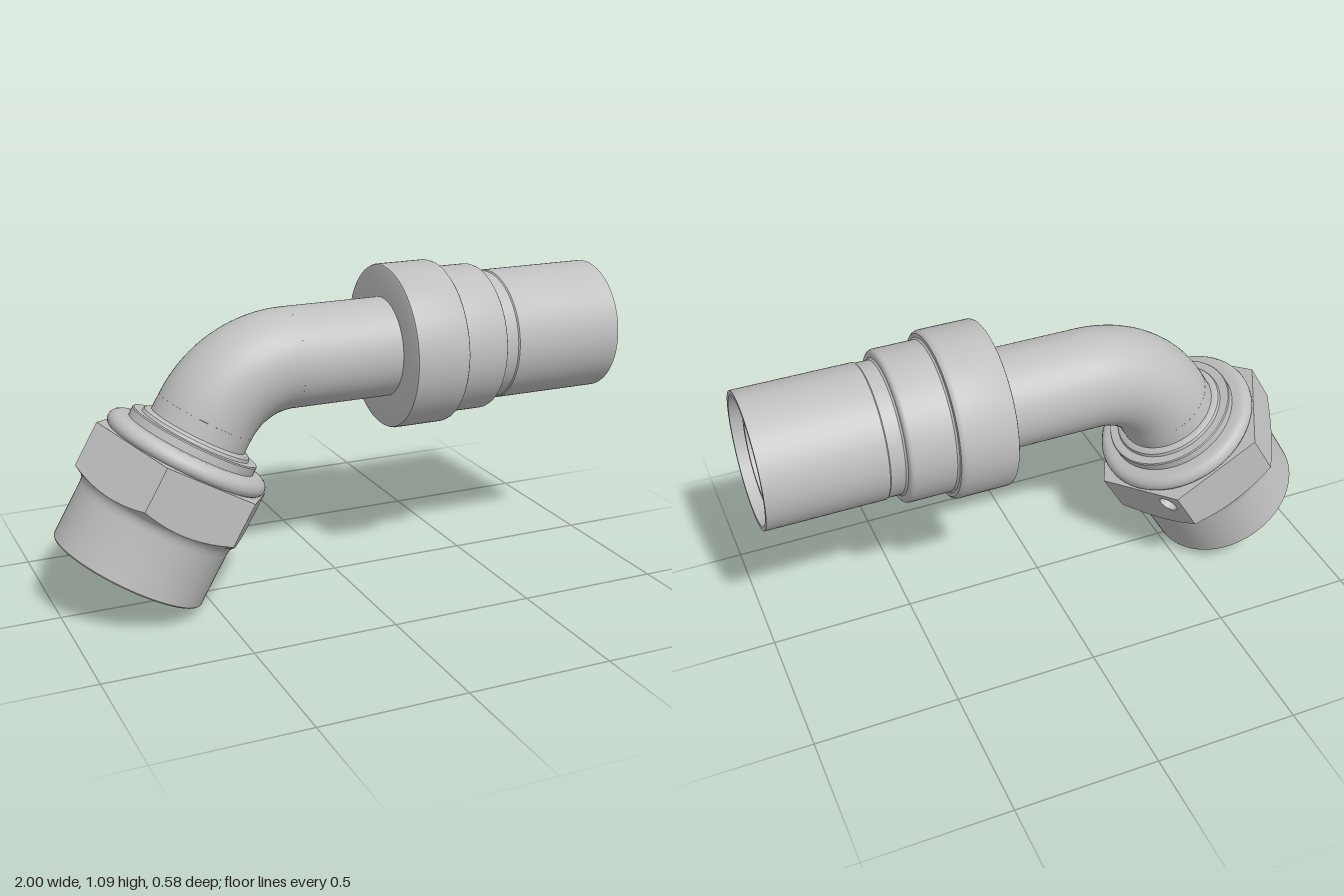
import * as THREE from 'three';
import { toCreasedNormals } from 'three/addons/utils/BufferGeometryUtils.js';

const metal = new THREE.MeshStandardMaterial({ color: 0xc0c0c0, side: THREE.DoubleSide });
metal.name = 'grey metal';

const SEGMENTS = 96;
const PIPE_Y = 0.81, PIPE_R = 0.173, BORE_R = 0.145;
const BEND_R = 0.338, BEND_X = -0.179;
const FLAT = 0.29, CORNER = FLAT / Math.cos(Math.PI / 6), NUT_TOP = 0.42;

function part(name, geometry, parent) {
  const mesh = new THREE.Mesh(geometry, metal);
  mesh.name = name;
  parent.add(mesh);
  return mesh;
}

// profile of [radius, height] pairs, turned about y
function turned(profile) {
  const points = profile.map(([r, h]) => new THREE.Vector2(r, h));
  return new THREE.LatheGeometry(points, SEGMENTS);
}
const crisp = (geometry) => toCreasedNormals(geometry, 0.6);

// height of the conical chamfer under the hexagon at a given radius
const chamferAt = (r) => 0.262 - 0.577 * (CORNER - r);

function hexRadius(angle) {
  const step = Math.PI / 3;
  const a = angle - Math.round(angle / step) * step;
  return FLAT / Math.cos(a);
}

// one side of the hexagon, with a scalloped lower edge
function hexSide(withHole, hole) {
  const half = CORNER / 2, n = 16;
  const shape = new THREE.Shape();
  shape.moveTo(-half, NUT_TOP);
  for (let i = 0; i <= n; i++) {
    const s = -half + (2 * half * i) / n;
    shape.lineTo(s, chamferAt(Math.hypot(FLAT, s)));
  }
  shape.lineTo(half, NUT_TOP);
  if (withHole) {
    shape.holes.push(new THREE.Path().absarc(hole.s, hole.t, hole.r, 0, Math.PI * 2, true));
  }
  return new THREE.ShapeGeometry(shape, 24).translate(0, 0, FLAT);
}

function createNut() {
  const nut = new THREE.Group();
  nut.name = 'nut';

  // skirt, bore and chamfer; the last point is spread out to the hexagon
  const skirt = turned([
    [BORE_R, 0.582], [BORE_R, 0.34], [0.235, 0.3], [0.235, 0.03], [0.25, 0],
    [0.271, 0], [0.275, 0.005], [0.275, 0.195], [0.277, 0.212], [0.282, 0.226],
    [0.289, 0.235], [CORNER, 0.262],
  ]);
  const p = skirt.attributes.position;
  for (let i = 0; i < p.count; i++) {
    if (Math.hypot(p.getX(i), p.getZ(i)) < 0.3) continue;
    const angle = Math.atan2(p.getX(i), p.getZ(i));
    const r = hexRadius(angle);
    p.setXYZ(i, r * Math.sin(angle), chamferAt(r), r * Math.cos(angle));
  }
  part('nutSkirt', crisp(skirt), nut);

  // six flats, one with a blind hole
  const hole = { s: 0.098, t: 0.363, r: 0.034 };
  for (let i = 0; i < 6; i++) {
    part('nutFlat', hexSide(i === 2, hole), nut).rotation.y = (i * Math.PI) / 3;
  }
  const drilled = turned([[0.0001, -0.048], [hole.r, -0.03], [hole.r, 0]]);
  drilled.rotateX(Math.PI / 2).translate(hole.s, hole.t, FLAT);
  part('lockingHole', crisp(drilled), nut).rotation.y = (2 * Math.PI) / 3;

  const top = new THREE.RingGeometry(0.2, CORNER, 6);
  top.rotateX(-Math.PI / 2).translate(0, NUT_TOP, 0);
  part('nutTop', top, nut);

  // rounded ring, collar and the short pipe up to the bend
  part('nutCollar', crisp(turned([
    [0.275, 0.418], [0.284, 0.424], [0.29, 0.434], [0.291, 0.444], [0.288, 0.456],
    [0.28, 0.467], [0.268, 0.473], [0.255, 0.475], [0.231, 0.475], [0.231, 0.503],
    [0.228, 0.507], [0.198, 0.507], [0.195, 0.518], [0.187, 0.524], [PIPE_R, 0.526],
    [PIPE_R, 0.582],
  ])), nut);

  nut.position.set(-0.763, 0.137, 0);
  nut.rotation.z = -Math.PI / 6;
  return nut;
}

export function createModel() {
  const model = new THREE.Group();
  model.name = 'pipeElbow';
  model.add(createNut());

  // sixty degree bend, outside and bore
  for (const [name, r] of [['bend', PIPE_R], ['bendBore', BORE_R]]) {
    const bend = part(name, new THREE.TorusGeometry(BEND_R, r, 64, 40, Math.PI / 3), model);
    bend.position.set(BEND_X, PIPE_Y - BEND_R, 0);
    bend.rotation.z = Math.PI / 2;
  }

  // straight pipe, stepped sleeve and open end with the inner tube
  const sleeve = part('pipeAndSleeve', crisp(turned([
    [PIPE_R, BEND_X], [PIPE_R, 0.178], [0.276, 0.178], [0.283, 0.181], [0.286, 0.188],
    [0.286, 0.36], [0.283, 0.37], [0.276, 0.376], [0.264, 0.377], [0.258, 0.383],
    [0.258, 0.525], [0.255, 0.533], [0.248, 0.538], [0.232, 0.539], [0.226, 0.545],
    [0.226, 0.594], [0.23, 0.598], [0.23, 1], [0.215, 1], [0.195, 0.9],
    [PIPE_R, 0.9], [PIPE_R, 0.958], [0.162, 0.968], [BORE_R, 0.968], [BORE_R, BEND_X],
  ])), model);
  sleeve.position.y = PIPE_Y;
  sleeve.rotation.z = -Math.PI / 2;

  return model;
}
